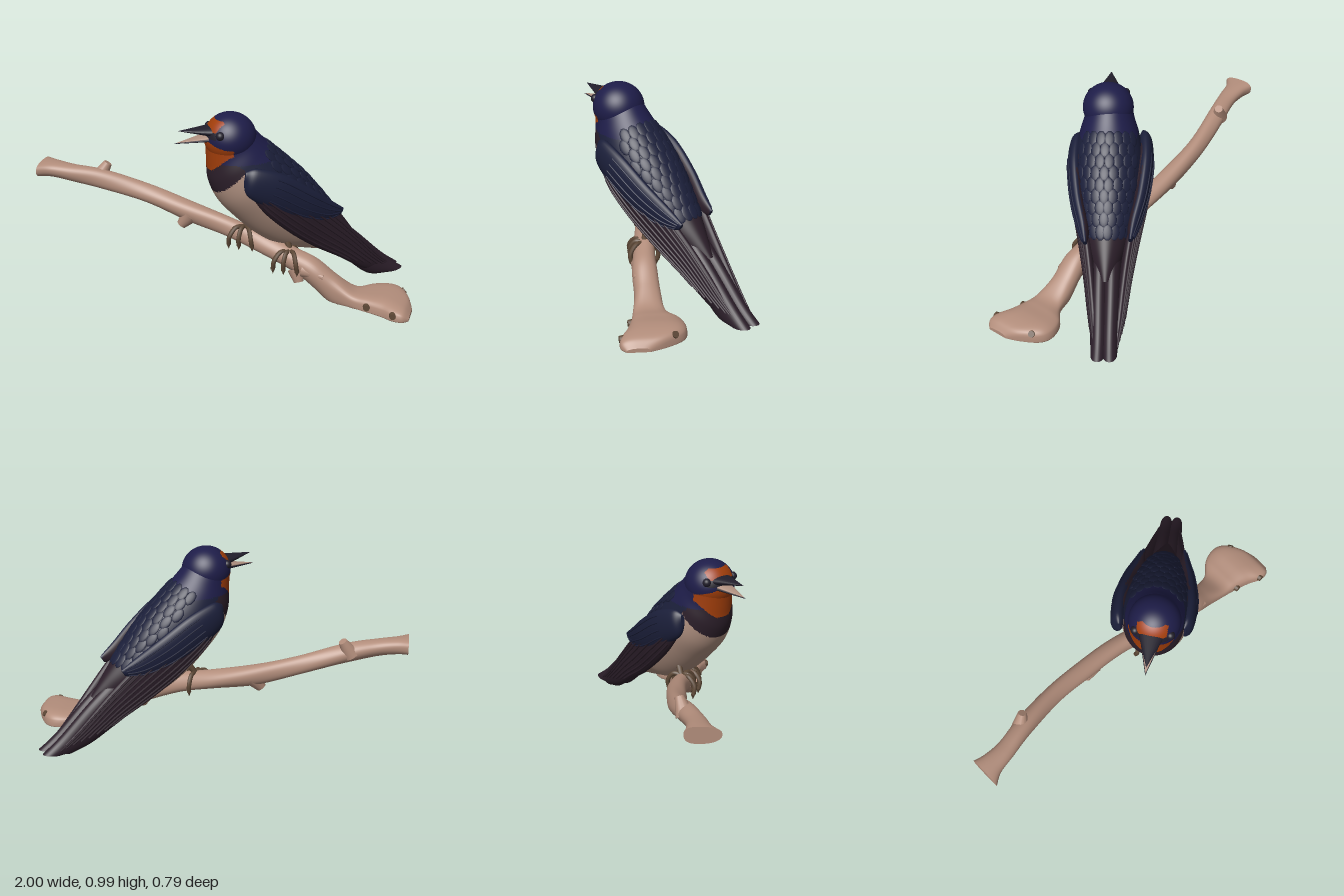
import * as THREE from 'three';

const mat = (name, color) => Object.assign(new THREE.MeshStandardMaterial({ color }), { name });
const M = {
  blue: mat('glossyBlue', 0x1e1d49), wing: mat('wingBlue', 0x1b1f3a), brown: mat('duskyBrown', 0x2b1e29),
  orange: mat('rustOrange', 0xa03d0a), cream: mat('bellyCream', 0xaf9080), bark: mat('bark', 0xb28d7b),
  foot: mat('footBrown', 0x5d4836), dark: mat('beakDark', 0x211e2b), olive: mat('baseOlive', 0x4a4318),
};
const V = (x, y, z) => new THREE.Vector3(x, y, z);

// Smooth interpolation through rows of numbers, u from 0 to 1
function sample(rows, u) {
  const f = u * (rows.length - 1), i = Math.min(Math.floor(f), rows.length - 2), t = f - i;
  const r = k => rows[Math.max(0, Math.min(rows.length - 1, k))];
  return rows[i].map((_, k) => {
    const a = r(i - 1)[k], b = r(i)[k], c = r(i + 1)[k], d = r(i + 2)[k];
    return b + 0.5 * t * (c - a + t * (2 * a - 5 * b + 4 * c - d + t * (3 * (b - c) + d - a)));
  });
}

// Bird section: [topZ, topY, bottomZ, bottomY, halfWidth, centreX]
function birdPoint([tz, ty, bz, by, w, cx = 0], a) {
  const c = Math.cos(a) / 2;
  return V(cx + w * Math.sin(a), Math.max(0, (ty + by) / 2 + (ty - by) * c), (tz + bz) / 2 + (tz - bz) * c);
}
// Branch section: [x, y, z, radiusY, radiusZ, roundness], 1 is round and less is boxier
function branchPoint([x, y, z, ry, rz, p], a) {
  const k = 1 + 0.04 * Math.sin(3 * a + 9 * x), q = v => Math.sign(v) * Math.abs(v) ** p;
  return V(x, Math.max(0.004, y + ry * k * q(Math.cos(a))), z + rz * k * q(Math.sin(a)));
}

// Closed, capped skin over interpolated sections
function loft(rows, point, n = 40, seg = 32) {
  const pos = [], idx = [];
  const ring = u => {
    const row = sample(rows, u), start = pos.length / 3;
    for (let j = 0; j < seg; j++) pos.push(...point(row, j / seg * Math.PI * 2).toArray());
    return start;
  };
  for (let i = 0; i <= n; i++) ring(i / n);
  for (let i = 0; i < n; i++) for (let j = 0; j < seg; j++) {
    const a = i * seg + j, b = i * seg + (j + 1) % seg;
    idx.push(a, b, a + seg, b, b + seg, a + seg);
  }
  for (const end of [0, 1]) {
    const s = ring(end), c = V(0, 0, 0), p = V(0, 0, 0);
    for (let j = 0; j < seg; j++) c.add(p.fromArray(pos, (s + j) * 3));
    pos.push(...c.divideScalar(seg).toArray());
    for (let j = 0; j < seg; j++) {
      const k = s + (j + 1) % seg;
      idx.push(s + seg, end ? s + j : k, end ? k : s + j);
    }
  }
  const g = new THREE.BufferGeometry();
  g.setAttribute('position', new THREE.Float32BufferAttribute(pos, 3));
  g.setIndex(idx);
  g.computeVertexNormals();
  return g;
}

// Sort faces into material groups by a rule on their centre
function paint(g, mats, rule) {
  const src = g.index.array, p = g.attributes.position, bins = mats.map(() => []);
  for (let i = 0; i < src.length; i += 3) {
    const c = V(0, 0, 0), q = V(0, 0, 0);
    for (let k = 0; k < 3; k++) c.add(q.fromBufferAttribute(p, src[i + k]));
    c.divideScalar(3);
    bins[mats.indexOf(rule(c))].push(src[i], src[i + 1], src[i + 2]);
  }
  let start = 0;
  bins.forEach((b, i) => { g.addGroup(start, b.length, i); start += b.length; });
  g.setIndex(bins.flat());
  return g;
}

function add(parent, name, geo, material) {
  const m = new THREE.Mesh(geo, material);
  m.name = name;
  parent.add(m);
  return m;
}
const tube = (pts, r, n = 16) => new THREE.TubeGeometry(new THREE.CatmullRomCurve3(pts), n, r, 7);

// Plumage colours of the head and body
function plumage({ x, y, z }) {
  const ax = Math.abs(x);
  if (z > 0.07 && y > 0.878 && y < 0.91 && ax < 0.085) return M.dark;
  if (z > 0.05 && y > 0.905 && y < 0.962 && ax < 0.075) return M.orange;
  if (z > 0.02 && y > 0.71 && y < 0.88 - 0.4 * ax && ax < 0.13 * Math.sqrt((y - 0.70) / 0.11)) return M.orange;
  if (y > 0.755) return M.blue;
  if (y > 0.755 + 0.98 * z) return z > -0.5 ? M.wing : M.brown;
  return y > 0.60 + (0.08 - z) * 1.08 ? M.brown : M.cream;
}
// Inner faces of the folded wing are dusky
const covertColour = ({ x, z }) => (z < -0.27 && Math.abs(x) < 0.212 + 0.21 * z ? M.brown : M.wing);

function buildBird() {
  const bird = new THREE.Group();
  bird.name = 'bird';
  const mats = [M.blue, M.wing, M.brown, M.orange, M.cream, M.dark];

  const head = new THREE.SphereGeometry(0.129, 120, 90).scale(1, 0.97, 1).translate(0.005, 0.86, -0.002);
  add(bird, 'head', paint(head, mats, plumage), mats);
  const bodyRows = [
    [-0.085, 0.93, 0.118, 0.845, 0.115], [-0.128, 0.89, 0.114, 0.735, 0.126], [-0.18, 0.835, 0.106, 0.64, 0.15],
    [-0.28, 0.745, 0.06, 0.535, 0.174], [-0.39, 0.64, -0.025, 0.435, 0.17], [-0.48, 0.535, -0.135, 0.33, 0.15],
    [-0.57, 0.42, -0.255, 0.25, 0.118], [-0.63, 0.34, -0.38, 0.21, 0.08], [-0.68, 0.27, -0.52, 0.175, 0.04]];
  add(bird, 'body', paint(loft(bodyRows, birdPoint, 120, 96), mats, plumage), mats);

  // Open beak: flattened cones with a pale inner mouth
  const beak = (name, m, y, tilt, r, flat, len) => {
    const g = new THREE.ConeGeometry(r, len, 20).rotateX(Math.PI / 2).scale(1, flat, 1).translate(0, 0, len / 2);
    const b = add(bird, name, g, m);
    b.position.set(0, y, 0.095);
    b.rotation.x = tilt;
  };
  beak('upperBeak', M.dark, 0.903, -0.09, 0.062, 0.42, 0.168);
  beak('lowerBeak', M.dark, 0.868, 0.07, 0.055, 0.28, 0.188);
  beak('mouth', M.cream, 0.877, 0.105, 0.052, 0.24, 0.178);

  const wingRows = [
    [-0.03, 0.715, -0.03, 0.64, 0.01, 0.155], [-0.1, 0.73, -0.075, 0.57, 0.03, 0.16], [-0.21, 0.69, -0.145, 0.48, 0.04, 0.158],
    [-0.36, 0.58, -0.275, 0.36, 0.04, 0.137], [-0.5, 0.45, -0.42, 0.25, 0.035, 0.105],
    [-0.65, 0.30, -0.58, 0.15, 0.03, 0.075], [-0.82, 0.12, -0.73, 0.05, 0.025, 0.05], [-0.93, 0.02, -0.85, 0, 0.01, 0.035]];
  const covertRows = [
    [-0.03, 0.725, -0.02, 0.67, 0.012, 0.153], [-0.09, 0.74, -0.04, 0.6, 0.035, 0.164], [-0.23, 0.69, -0.155, 0.52, 0.04, 0.168],
    [-0.38, 0.59, -0.305, 0.43, 0.037, 0.148], [-0.5, 0.50, -0.45, 0.385, 0.03, 0.115], [-0.58, 0.44, -0.56, 0.405, 0.01, 0.1]];
  const tailRows = [
    [-0.52, 0.40, -0.42, 0.26, 0.05, 0.03], [-0.7, 0.25, -0.6, 0.14, 0.045, 0.03],
    [-0.87, 0.09, -0.76, 0.01, 0.042, 0.028], [-0.97, 0.015, -0.86, 0, 0.034, 0.03]];
  for (const side of [1, -1]) {
    const wing = new THREE.Group();
    wing.name = side > 0 ? 'leftWing' : 'rightWing';
    // The right wing is held a little looser and further forward
    if (side < 0) wing.position.set(-0.02, 0, 0.025);
    bird.add(wing);
    const flip = rows => rows.map(r => [...r.slice(0, 5), r[5] * side]);
    const flight = flip(wingRows), covert = flip(covertRows);
    add(wing, 'flightFeathers', loft(flight, birdPoint), M.brown);
    add(wing, 'wingCoverts', paint(loft(covert, birdPoint), mats, covertColour), mats);
    add(bird, 'tailFeathers', loft(flip(tailRows), birdPoint), M.brown);
    // Raised feather edges running along the wing
    const ridge = (rows, a, u0, u1, r, m) => {
      const pts = [];
      for (let k = 0; k <= 8; k++) pts.push(birdPoint(sample(rows, u0 + (u1 - u0) * k / 8), a * side));
      add(wing, 'featherEdge', tube(pts, r, 24), m);
    };
    for (let i = 0; i < 8; i++) ridge(flight, 0.55 + i * 0.28, 0.2 + 0.02 * (i % 3), 0.97 - 0.03 * i, 0.006, M.brown);
    for (let i = 0; i < 4; i++) ridge(covert, 0.8 + i * 0.45, 0.35, 0.95, 0.004, M.wing);

    const eye = add(bird, 'eye', new THREE.SphereGeometry(0.022, 20, 14), M.dark);
    eye.position.set(0.005 + 0.086 * side, 0.9, 0.077);
  }

  // Overlapping small feathers on the back
  for (let i = 0; i < 9; i++) for (let j = -3; j <= 3; j++) {
    const u = 0.3 + i * 0.05, a = (j + (i % 2) * 0.5 - 0.25) * 0.27;
    const p = birdPoint(sample(bodyRows, u), a), q = birdPoint(sample(bodyRows, u + 0.06), a);
    const f = add(bird, 'backFeather', new THREE.SphereGeometry(1, 10, 8).scale(0.026, 0.006, 0.042), M.wing);
    f.position.copy(p);
    f.up.set(Math.sin(a), 0.7 * Math.cos(a), -0.7 * Math.cos(a));
    f.lookAt(q);
  }
  bird.position.set(0.068, 0, 0.22);
  bird.rotation.y = -0.927;
  return bird;
}

function buildBranch() {
  const branch = new THREE.Group();
  branch.name = 'branch';
  const rows = [
    [-1, 0.54, 0.135, 0.042, 0.085, 0.8], [-0.94, 0.535, 0.125, 0.042, 0.06, 0.9], [-0.84, 0.52, 0.115, 0.045, 0.05, 1],
    [-0.68, 0.49, 0.08, 0.052, 0.05, 1], [-0.45, 0.425, 0.045, 0.05, 0.048, 1], [-0.22, 0.355, 0.045, 0.056, 0.05, 1],
    [0, 0.305, 0.06, 0.052, 0.05, 1], [0.2, 0.255, 0.1, 0.055, 0.052, 1], [0.4, 0.185, 0.12, 0.065, 0.055, 1],
    [0.5, 0.135, 0.125, 0.08, 0.062, 1], [0.6, 0.06, 0.12, 0.08, 0.065, 0.9], [0.7, 0.03, 0.12, 0.045, 0.08, 0.75],
    [0.78, 0.025, 0.095, 0.045, 0.12, 0.6], [0.86, 0.025, 0.095, 0.05, 0.142, 0.6], [0.92, 0.025, 0.12, 0.045, 0.143, 0.6],
    [0.97, 0.02, 0.16, 0.035, 0.105, 0.6], [1, 0.01, 0.185, 0.015, 0.055, 0.8]];
  add(branch, 'limb', loft(rows, branchPoint, 128, 40), M.bark);
  // Stubs of broken twigs: base, tip, radii
  const stubs = [
    [V(-0.71, 0.49, 0.07), V(-0.665, 0.57, 0.045), 0.045, 0.022, M.bark],
    [V(-0.20, 0.34, 0.05), V(-0.25, 0.275, 0.06), 0.052, 0.026, M.bark],
    [V(0.40, 0.15, 0.14), V(0.42, 0.09, 0.16), 0.045, 0.025, M.bark],
    [V(0.44, 0.16, 0.15), V(0.55, 0.14, 0.17), 0.04, 0.015, M.bark],
    [V(0.78, 0.03, 0.18), V(0.785, 0.032, 0.225), 0.024, 0.016, M.foot],
    [V(0.92, 0.03, 0.23), V(0.925, 0.032, 0.272), 0.024, 0.016, M.foot],
    [V(0.91, 0.03, 0.03), V(0.94, 0.055, 0.012), 0.024, 0.016, M.foot]];
  for (const [a, b, r0, r1, m] of stubs) {
    const s = add(branch, 'twigStub', new THREE.CylinderGeometry(r1, r0, a.distanceTo(b), 14), m);
    s.position.copy(a).lerp(b, 0.5);
    s.quaternion.setFromUnitVectors(V(0, 1, 0), b.clone().sub(a).normalize());
  }
  const base = add(branch, 'baseUnderside', new THREE.CircleGeometry(1, 32).rotateX(Math.PI / 2).scale(0.15, 1, 0.135), M.olive);
  base.position.set(0.845, 0.001, 0.11);
  return branch;
}

// Leg with three front toes and one back toe curled over the branch
function buildFoot(name, hip, ankle) {
  const foot = new THREE.Group();
  foot.name = name;
  add(foot, 'leg', tube([hip, hip.clone().lerp(ankle, 0.5), ankle], 0.016), M.foot);
  for (const [dx, dir] of [[-0.065, 1], [-0.015, 1], [0.05, 1], [0.02, -1]]) {
    const at = (x, y, z) => ankle.clone().add(V(x, y, z * dir));
    add(foot, 'toe', tube([ankle, at(dx * 0.6, 0.004, 0.04), at(dx, -0.04, 0.07), at(dx * 1.1, -0.085, 0.064)], 0.012), M.foot);
    const claw = add(foot, 'claw', new THREE.ConeGeometry(0.012, 0.03, 8).rotateX(Math.PI), M.foot);
    claw.position.copy(at(dx * 1.1, -0.097, 0.062));
  }
  return foot;
}

export function createModel() {
  const model = new THREE.Group();
  model.name = 'birdOnBranch';
  model.add(buildBird(), buildBranch(),
    buildFoot('leftFoot', V(0.33, 0.32, 0.10), V(0.36, 0.24, 0.12)),
    buildFoot('rightFoot', V(0.16, 0.41, 0.06), V(0.11, 0.325, 0.08)));
  return model;
}
